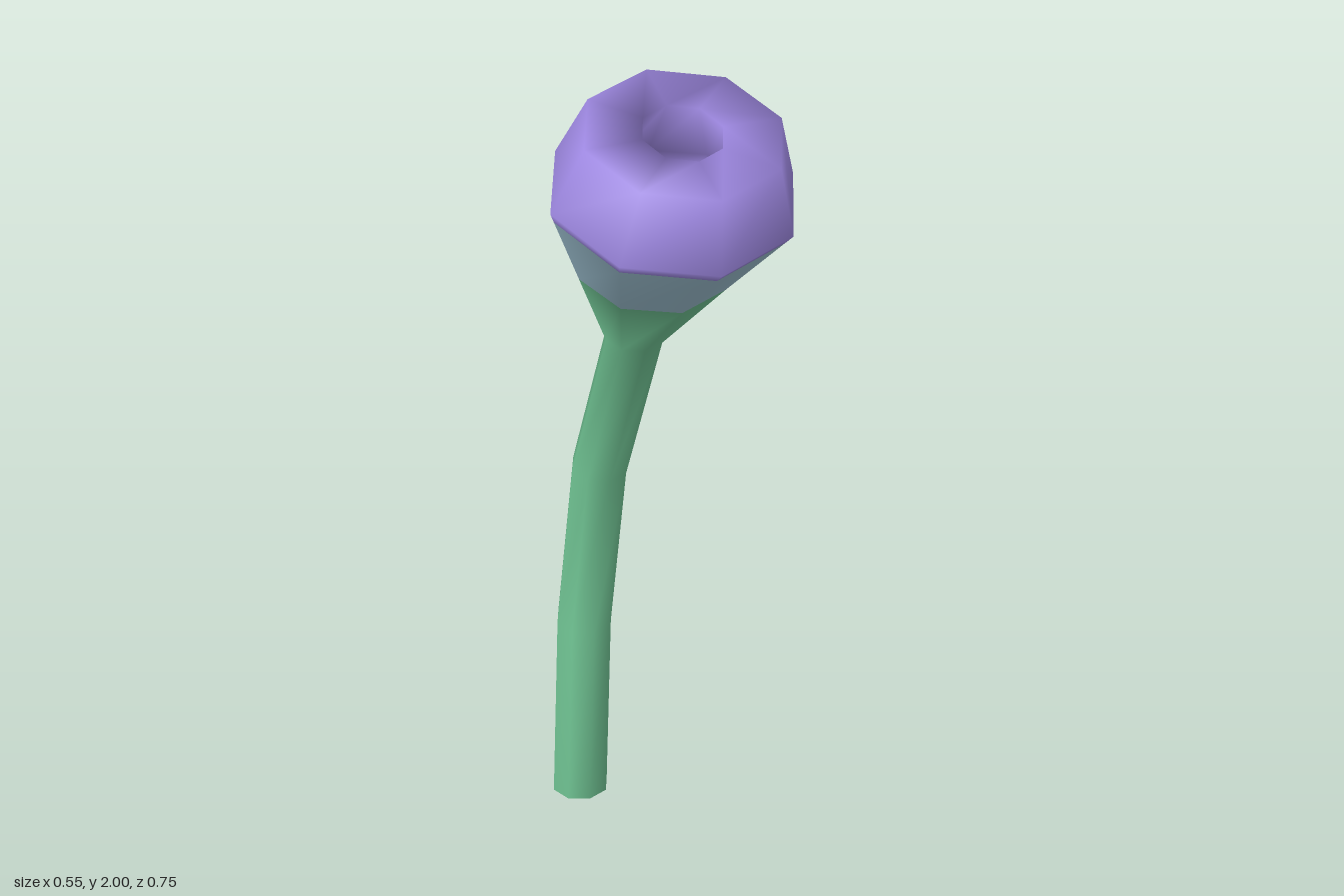
import * as THREE from 'three';

const SIDES = 8;

// Tilted ring: centre, x radius, z radius, tilt (rise of y per unit z)
const ring = (x, y, z, rx, rz = rx, tilt = 0) => [x, y, z, rx, rz, tilt];
const mix = (a, b, t) => a.map((v, i) => v + (b[i] - v) * t);

// Corner i of a ring; 0 is the front, 2 is +x, 4 is the back
function corner(r, i) {
  const a = (i * Math.PI * 2) / SIDES;
  const dz = r[4] * Math.cos(a);
  return new THREE.Vector3(r[0] + r[3] * Math.sin(a), r[1] + r[5] * dz, r[2] + dz);
}

// Point on the straight edge between two corners
function edgePoint(r, i) {
  const k = Math.floor(i);
  return corner(r, k).lerp(corner(r, k + 1), i - k);
}

export function createModel() {
  const green = new THREE.MeshStandardMaterial({ color: 0x74ca98 });
  green.name = 'stem green';
  const blue = new THREE.MeshStandardMaterial({ color: 0xa1c5d6 });
  blue.name = 'pale blue';
  const purple = new THREE.MeshStandardMaterial({ color: 0x9f89e3 });
  purple.name = 'bloom purple';

  const neck = ring(-0.012, 1.35, -0.085, 0.068, 0.066, -0.15);
  const wide = ring(0, 1.78, 0.113, 0.275, 0.267, -0.264);
  const rim = ring(0, 1.94, 0.17, 0.22, 0.21, -0.286);
  const mouth = ring(0, 1.94, 0.165, 0.09, 0.09, -0.286);
  const hollow = ring(0, 1.78, 0.115, 0.165, 0.145, -0.264);
  const throat = ring(-0.01, 1.39, -0.04, 0.045, 0.045, -0.2);

  // One continuous skin: up the outside, over the rim and down the inside
  const rings = [
    ring(-0.08, 0, -0.292, 0),
    ring(-0.08, 0, -0.292, 0.07, 0.068),
    ring(-0.058, 0.48, -0.307, 0.069, 0.068, -0.1),
    ring(-0.036, 0.93, -0.25, 0.068, 0.066, -0.15),
    neck,
    mix(neck, wide, 0.5),
    mix(neck, wide, 0.94),
    wide,
    rim,
    mouth,
    hollow,
    mix(throat, hollow, 0.94),
    mix(throat, hollow, 0.44),
    throat,
    ring(-0.01, 1.39, -0.04, 0),
  ];

  const points = [];
  for (const r of rings) for (let i = 0; i < SIDES; i++) points.push(corner(r, i));

  // Triangles between consecutive rings
  function bandIndex(from, to) {
    const index = [];
    for (let j = from; j < to; j++) {
      for (let i = 0; i < SIDES; i++) {
        const n = (i + 1) % SIDES;
        const a = j * SIDES + i, b = j * SIDES + n;
        const c = a + SIDES, d = b + SIDES;
        if (rings[j][3] > 0) index.push(a, b, d);
        if (rings[j + 1][3] > 0) index.push(a, d, c);
        else index.push(a, b, c);
      }
    }
    return index;
  }

  // Normals are shared so the shading runs smoothly across the colours
  const skin = new THREE.BufferGeometry().setFromPoints(points);
  skin.setIndex(bandIndex(0, rings.length - 1));
  skin.computeVertexNormals();

  const group = new THREE.Group();
  group.name = 'flower';

  function addPart(name, from, to, material) {
    const geometry = new THREE.BufferGeometry();
    geometry.setAttribute('position', skin.getAttribute('position'));
    geometry.setAttribute('normal', skin.getAttribute('normal'));
    geometry.setIndex(bandIndex(from, to));
    const mesh = new THREE.Mesh(geometry, material);
    mesh.name = name;
    group.add(mesh);
  }

  addPart('stem', 0, 4, green);
  addPart('budBase', 4, 5, green);
  addPart('budBand', 5, 6, blue);
  addPart('bloom', 6, 11, purple);
  addPart('innerBand', 11, 12, blue);
  addPart('innerBase', 12, 14, green);

  // Small pale spots on the back of the bloom
  function addSpot(i0, i1, t0, t1) {
    const at = (i, t) => {
      const p = edgePoint(wide, i).lerp(edgePoint(rim, i), t);
      const out = p.clone().sub(new THREE.Vector3(0, 1.75, 0.14)).setLength(0.004);
      return p.add(out);
    };
    const im = (i0 + i1) / 2, tm = (t0 + t1) / 2;
    const outline = [at(i0, tm), at(i0, t0), at(im, t0), at(i1, tm), at(i1, t1), at(im, t1)];
    const geometry = new THREE.BufferGeometry().setFromPoints(outline);
    geometry.setIndex([0, 1, 2, 0, 2, 3, 0, 3, 4, 0, 4, 5]);
    geometry.computeVertexNormals();
    const mesh = new THREE.Mesh(geometry, blue);
    mesh.name = 'spot';
    group.add(mesh);
  }
  addSpot(4.01, 4.18, 0.1, 0.45);
  addSpot(3.28, 3.56, 0, 0.24);

  return group;
}
